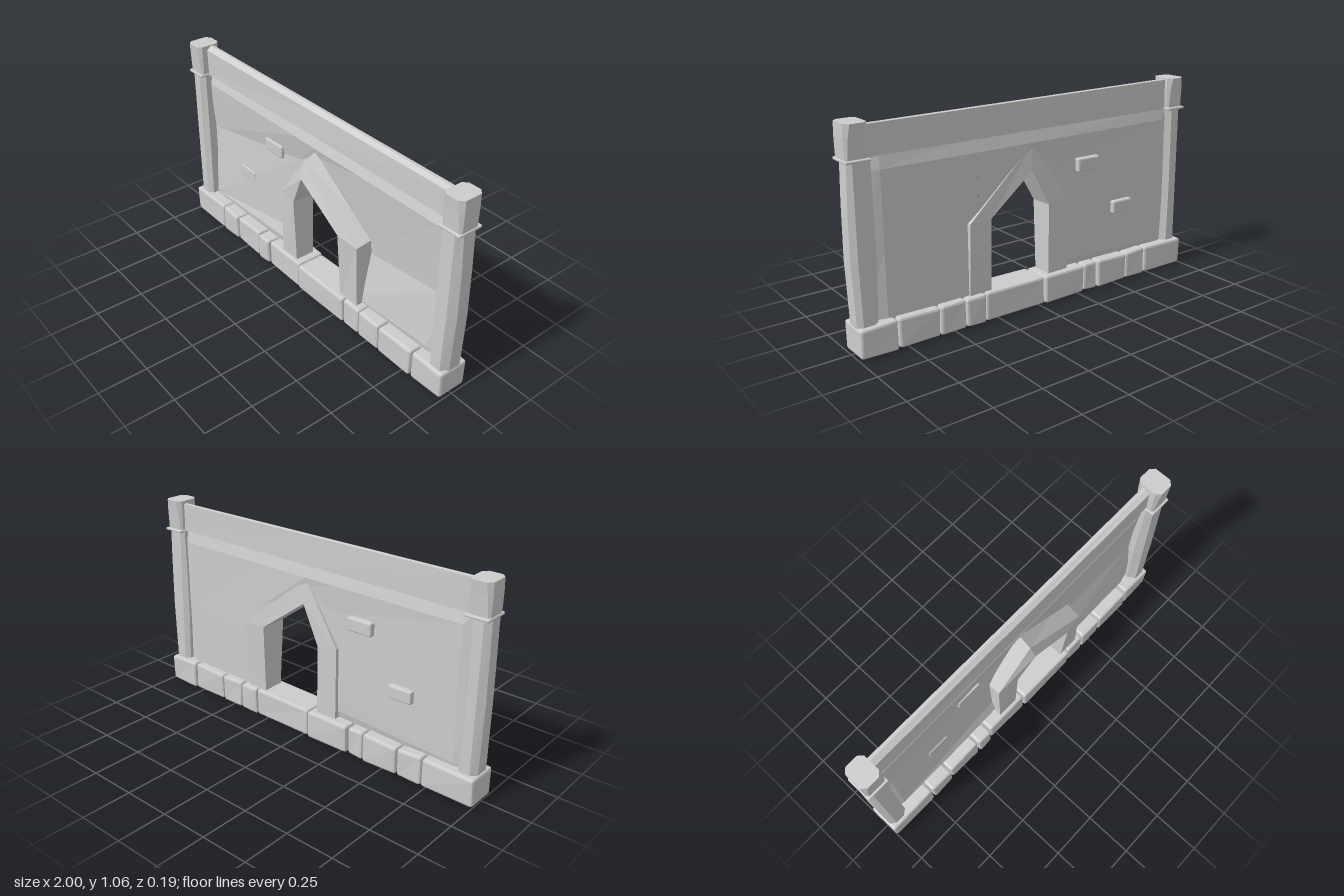
import * as THREE from 'three';
import { RoundedBoxGeometry } from 'three/addons/geometries/RoundedBoxGeometry.js';

const stone = new THREE.MeshStandardMaterial({ color: 0xcccccc, flatShading: true });
stone.name = 'stone grey';

// collects quads (counter-clockwise from outside) into one flat-shaded geometry
function quadGeometry(quads) {
  const pos = [];
  for (const [a, b, c, d] of quads) pos.push(...a, ...b, ...c, ...a, ...c, ...d);
  const g = new THREE.BufferGeometry();
  g.setAttribute('position', new THREE.Float32BufferAttribute(pos, 3));
  g.computeVertexNormals();
  return g;
}

// upright loft through chamfered rectangles: [y, x0, x1, z0, z1, x chamfer, front chamfer, back chamfer]
function loftUp(sections) {
  const rings = sections.map(([y, x0, x1, z0, z1, c, f, b]) => [
    [x0 + c, y, z1], [x1 - c, y, z1], [x1, y, z1 - f], [x1, y, z0 + b],
    [x1 - c, y, z0], [x0 + c, y, z0], [x0, y, z0 + b], [x0, y, z1 - f]]);
  const quads = [];
  for (let i = 0; i + 1 < rings.length; i++) {
    for (let k = 0; k < 8; k++) {
      const n = (k + 1) % 8;
      quads.push([rings[i][k], rings[i][n], rings[i + 1][n], rings[i + 1][k]]);
    }
  }
  const t = rings[rings.length - 1], b = rings[0];
  for (const k of [0, 2, 4]) {
    quads.push([t[0], t[k + 1], t[k + 2], t[k + 3]]);
    quads.push([b[0], b[k + 3], b[k + 2], b[k + 1]]);
  }
  return quadGeometry(quads);
}

export function createModel() {
  const model = new THREE.Group();
  const add = (name, geometry, x = 0, y = 0, z = 0) => {
    const m = new THREE.Mesh(geometry, stone);
    m.name = name;
    m.position.set(x, y, z);
    model.add(m);
  };

  // row of uneven foundation blocks
  const blocks = [[-1, -0.727], [-0.722, -0.588], [-0.583, -0.387], [-0.38, -0.293], [-0.285, -0.035],
    [-0.03, 0.322], [0.325, 0.435], [0.44, 0.577], [0.582, 0.797], [0.804, 0.99]];
  blocks.forEach(([x0, x1], i) => {
    const g = new RoundedBoxGeometry(x1 - x0, 0.145, 0.163, 1, 0.012);
    const p = g.attributes.position;
    for (let k = 0; k < p.count; k++) {
      const sx = Math.sign(p.getX(k)), sy = Math.sign(p.getY(k)), sz = Math.sign(p.getZ(k));
      p.setY(k, p.getY(k) + 0.002 * Math.sin(i * 2.3 + sx * 1.7 + sy));
      p.setZ(k, p.getZ(k) + 0.002 * Math.sin(i * 3.1 + sx * 2 + sy * 1.3 + sz));
    }
    add('foundationBlock', g, (x0 + x1) / 2, 0.077, -0.006 + 0.004 * Math.sin(i * 2.7));
  });

  // thin wall: columns of [y, front z, back z], creased across the middle
  const column = (x, rows) => rows.map(([y, f, b]) => ({ f: [x, y, f], b: [x, y, b] }));
  const leftPanel = [
    column(-0.93, [[0.1, -0.01, -0.02], [0.165, -0.01, -0.02], [0.175, -0.01, -0.02], [0.58, -0.015, -0.025], [0.84, -0.01, -0.02], [0.92, -0.01, -0.02]]),
    column(-0.86, [[0.1, 0.004, -0.035], [0.165, 0.012, -0.042], [0.175, 0.012, -0.042], [0.58, -0.014, -0.04], [0.84, 0.006, -0.04], [0.92, -0.015, -0.025]]),
    column(-0.14, [[0.1, -0.005, -0.015], [0.19, 0.015, -0.036], [0.27, -0.008, -0.038], [0.7, -0.02, -0.036], [0.84, 0.006, -0.042], [0.92, -0.015, -0.025]])];
  const topPanel = [
    column(-0.14, [[0.5, -0.0145, -0.037], [0.7, -0.02, -0.036], [0.84, 0.006, -0.042], [0.92, -0.015, -0.025]]),
    column(0.015, [[0.75, -0.012, -0.036], [0.79, -0.005, -0.036], [0.84, 0.008, -0.042], [0.92, -0.015, -0.025]]),
    column(0.335, [[0.5, -0.027, -0.048], [0.6, -0.018, -0.046], [0.84, 0.006, -0.042], [0.92, -0.015, -0.025]])];
  const rightPanel = [
    column(0.335, [[0.1, 0.005, -0.048], [0.155, 0.015, -0.048], [0.42, -0.035, -0.048], [0.84, 0.006, -0.042], [0.92, -0.015, -0.025]]),
    column(0.83, [[0.1, 0.005, -0.046], [0.18, 0.014, -0.045], [0.48, -0.02, -0.042], [0.84, 0.006, -0.04], [0.92, -0.015, -0.025]]),
    column(0.92, [[0.1, -0.01, -0.02], [0.18, -0.01, -0.02], [0.48, -0.015, -0.025], [0.84, -0.01, -0.02], [0.92, -0.015, -0.025]])];
  const wall = [];
  for (const panel of [leftPanel, topPanel, rightPanel]) {
    for (let i = 0; i + 1 < panel.length; i++) {
      for (let j = 0; j + 1 < panel[i].length; j++) {
        const a = panel[i][j], b = panel[i + 1][j], c = panel[i + 1][j + 1], d = panel[i][j + 1];
        wall.push([a.f, b.f, c.f, d.f], [b.b, a.b, d.b, c.b]);
      }
    }
  }
  add('wallPanel', quadGeometry(wall));

  // pointed door surround: stations of front/back outer and inner corners
  const stations = [
    [[-0.192, 0.13, 0.05], [-0.192, 0.13, -0.058], [-0.075, 0.13, 0.05], [-0.075, 0.13, -0.058]],
    [[-0.192, 0.515, 0.05], [-0.192, 0.527, -0.056], [-0.075, 0.515, 0.068], [-0.075, 0.515, -0.058]],
    [[0.01, 0.788, 0.068], [0.014, 0.832, -0.036], [0.022, 0.705, 0.094], [0.022, 0.705, -0.05]],
    [[0.393, 0.49, 0.058], [0.4, 0.512, -0.072], [0.279, 0.515, 0.08], [0.279, 0.515, -0.068]],
    [[0.399, 0.13, 0.052], [0.399, 0.13, -0.06], [0.279, 0.13, 0.052], [0.279, 0.13, -0.06]]];
  const arch = [];
  for (let i = 0; i < 4; i++) {
    const [of0, ob0, if0, ib0] = stations[i], [of1, ob1, if1, ib1] = stations[i + 1];
    arch.push([of0, if0, if1, of1], [ob0, ob1, ib1, ib0], [of0, of1, ob1, ob0], [if0, ib0, ib1, if1]);
  }
  add('doorArch', quadGeometry(arch));

  // corner posts with collar and flared cap
  add('leftPost', loftUp([[0.13, 0.882, 0.986, -0.068, 0.056, 0.024, 0.038, 0.018],
    [0.45, 0.872, 0.997, -0.066, 0.056, 0.028, 0.038, 0.02],
    [0.7, 0.872, 0.993, -0.062, 0.055, 0.026, 0.036, 0.018], [0.9, 0.875, 0.985, -0.058, 0.053, 0.02, 0.03, 0.014]]));
  add('rightPost', loftUp([[0.13, -0.99, -0.885, -0.064, 0.056, 0.026, 0.02, 0.03],
    [0.5, -0.996, -0.888, -0.06, 0.055, 0.03, 0.024, 0.03], [0.9, -0.994, -0.89, -0.056, 0.053, 0.026, 0.024, 0.024]]));
  for (const side of [-1, 1]) {
    const c = side * 0.938;
    add('postCollar', new RoundedBoxGeometry(0.118, 0.014, 0.134, 1, 0.005), c, 0.897, -0.003);
    add('postCap', loftUp([[0.9, c - 0.054, c + 0.054, -0.055, 0.053, 0.01, 0.01, 0.01],
      [1.0, c - 0.056, c + 0.056, -0.061, 0.059, 0.016, 0.016, 0.016],
      [1.06, c - 0.054, c + 0.054, -0.067, 0.065, 0.022, 0.022, 0.022]]));
  }

  // slim top beam: sections joined along x, dipping slightly to one end
  const beamSections = [
    [-0.91, [0.893, 0.012], [1.036, 0.014], [1.056, -0.012], [1.053, -0.03], [0.895, -0.032]],
    [0, [0.912, 0.016], [1.034, 0.012], [1.051, -0.012], [1.048, -0.03], [0.9, -0.034]],
    [0.91, [0.905, 0.014], [1.034, 0.014], [1.045, -0.01], [1.043, -0.03], [0.9, -0.032]]]
    .map(([x, ...pts]) => pts.map(([y, z]) => [x, y, z]));
  const beam = [];
  for (let i = 0; i < 2; i++) {
    for (let k = 0; k < 5; k++) {
      const n = (k + 1) % 5, a = beamSections[i], b = beamSections[i + 1];
      beam.push([a[k], b[k], b[n], a[n]]);
    }
  }
  add('topBeam', quadGeometry(beam));

  // loose bricks showing through both faces of the wall
  add('wallBrick', new RoundedBoxGeometry(0.14, 0.07, 0.065, 1, 0.008), -0.33, 0.685, -0.033);
  add('wallBrick', new RoundedBoxGeometry(0.13, 0.068, 0.065, 1, 0.008), -0.57, 0.416, -0.032);

  return model;
}
